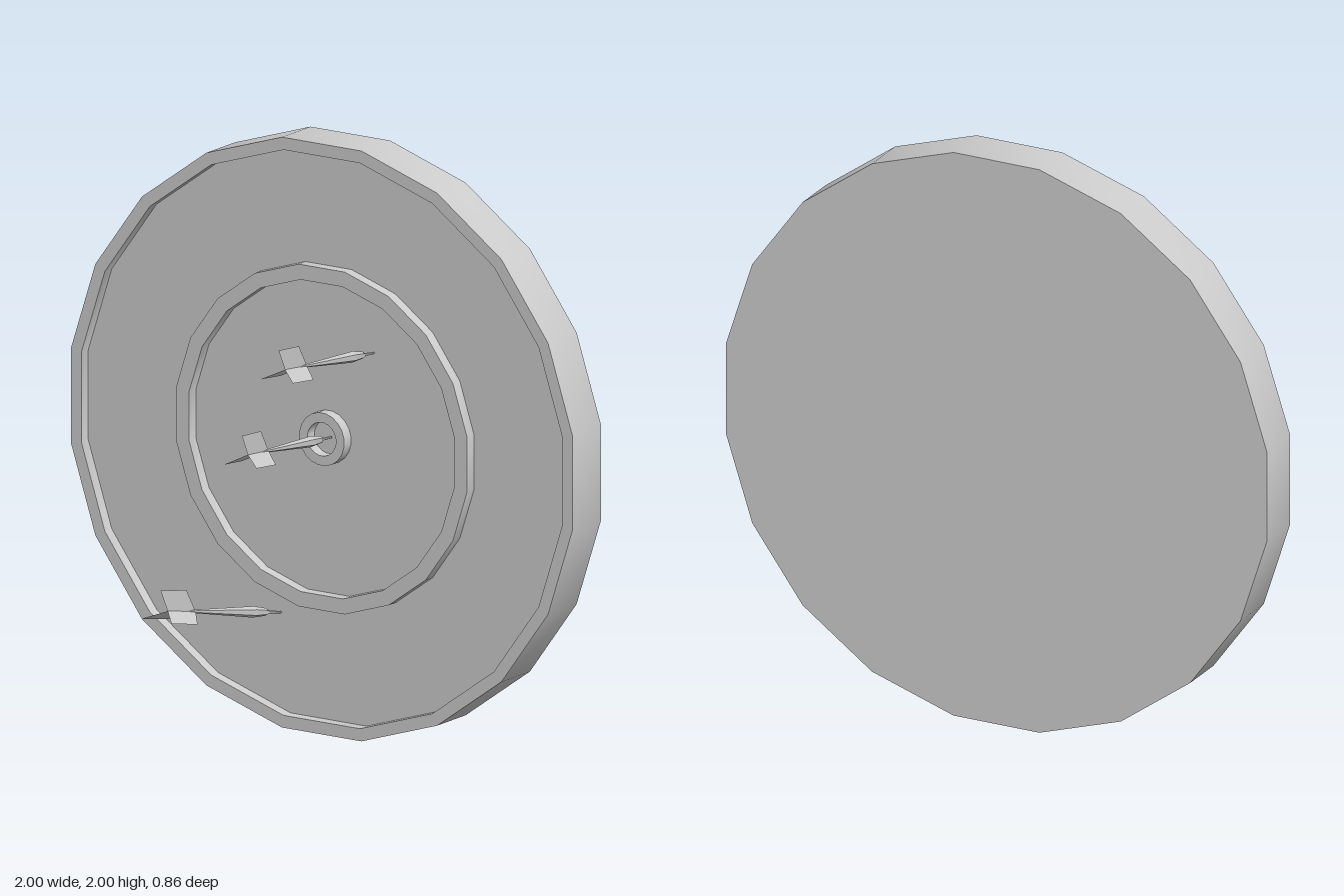
import * as THREE from 'three';
import { toCreasedNormals } from 'three/addons/utils/BufferGeometryUtils.js';

const BACK = -0.43, FRONT = -0.265, FLOOR = -0.305;
const V2 = (p) => new THREE.Vector2(p[0], p[1]);

// Twenty-sided board: one turned profile with raised rim, middle ring and bullseye ring
function makeBoard(material) {
  const R = 1 / Math.cos(Math.PI / 20);
  const profile = [[0, BACK], [R, BACK], [R, FRONT]];
  const ringEdges = [[0.97, 0], [0.587, 0.535], [0.09, 0.057]];
  ringEdges.forEach(([outer, inner], i) => {
    if (i === 0) profile.push([outer, FRONT], [outer, FLOOR]);
    else profile.push([outer, FLOOR], [outer, FRONT], [inner, FRONT], [inner, FLOOR]);
  });
  profile.push([0, FLOOR]);
  const geo = new THREE.LatheGeometry(profile.map(V2), 20, Math.PI / 20);
  geo.rotateX(Math.PI / 2);
  const board = new THREE.Mesh(toCreasedNormals(geo, Math.PI / 6), material);
  board.name = 'board';
  board.position.y = 1;
  return board;
}

// Dart along +z with its point at the origin
function makeDart(material, finMaterial) {
  const dart = new THREE.Group();
  const profile = [[0, -0.04], [0.004, -0.03], [0.005, 0.035], [0.013, 0.06],
    [0.019, 0.13], [0.006, 0.47], [0, 0.52]];
  const bodyGeo = new THREE.LatheGeometry(profile.map(V2), 6);
  bodyGeo.rotateX(Math.PI / 2);
  const body = new THREE.Mesh(bodyGeo, material);
  body.name = 'dartBody';
  dart.add(body);

  // Three swept fins with a notched tail
  const finShape = new THREE.Shape([[0.47, 0], [0.54, 0.07], [0.692, 0.068], [0.635, 0]].map(V2));
  const finGeo = new THREE.ShapeGeometry(finShape);
  finGeo.rotateY(-Math.PI / 2);
  for (let i = 0; i < 3; i++) {
    const fin = new THREE.Mesh(finGeo, finMaterial);
    fin.name = 'dartFin';
    fin.rotation.z = (i * Math.PI * 2) / 3;
    dart.add(fin);
  }
  return dart;
}

export function createModel() {
  const model = new THREE.Group();
  const smooth = new THREE.MeshStandardMaterial({ color: 0xcccccc });
  const faceted = new THREE.MeshStandardMaterial({ color: 0xcccccc, flatShading: true });
  const thin = new THREE.MeshStandardMaterial({ color: 0xcccccc, side: THREE.DoubleSide });
  model.add(makeBoard(smooth));

  // Where each dart strikes, and its sideways and upward lean
  const darts = [
    { name: 'upperDart', x: 0.19, y: 1.318, dx: 0.15, dy: 0.15 },
    { name: 'centreDart', x: 0.022, y: 1.007, dx: 0.18, dy: 0.15 },
    { name: 'lowerDart', x: -0.185, y: 0.387, dx: 0, dy: 0.22 },
  ];
  for (const { name, x, y, dx, dy } of darts) {
    const dart = makeDart(faceted, thin);
    dart.name = name;
    dart.position.set(x, y, FRONT);
    dart.lookAt(x + dx, y + dy, FRONT + 1);
    model.add(dart);
  }
  return model;
}
